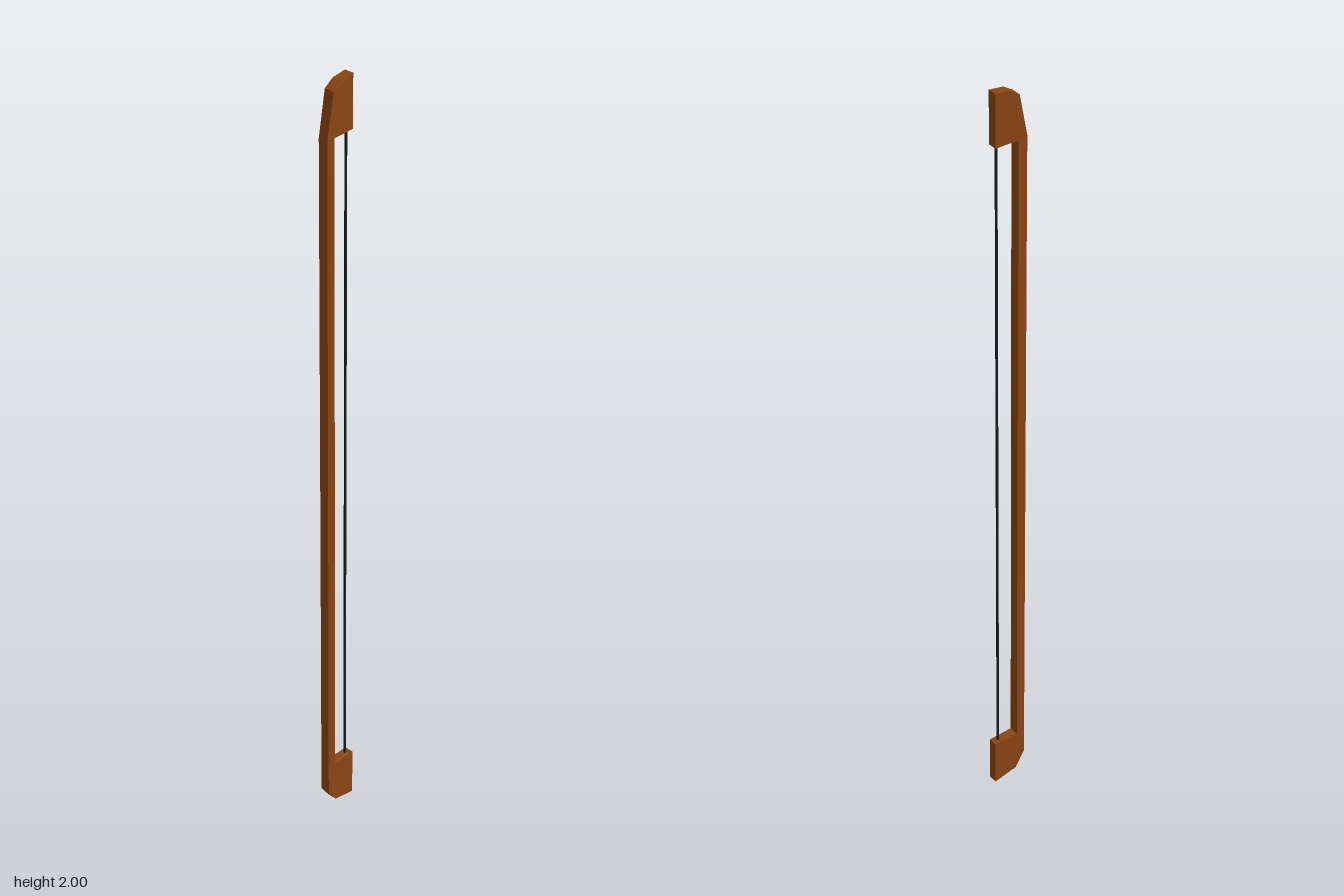
import * as THREE from 'three';

export function createModel() {
  const group = new THREE.Group();
  group.name = 'bow';
  const wood = new THREE.MeshStandardMaterial({ color: 0x8b4513, flatShading: true });
  const dark = new THREE.MeshStandardMaterial({ color: 0x1a1a1a, flatShading: true });

  // Side outline (z, y): long stick with a head block on top and a grip block below
  const outline = [
    [-0.047, 0], [-0.047, 0.13], [0.02, 0.13], [0.02, 1.868], [-0.041, 1.868], [-0.041, 2],
    [-0.003, 1.995], [0.023, 1.978], [0.046, 1.87], [0.046, 0.055], [0.017, 0.015],
  ];
  const shape = new THREE.Shape(outline.map(([z, y]) => new THREE.Vector2(z, y)));
  const geo = new THREE.ExtrudeGeometry(shape, { depth: 0.024, bevelEnabled: false });
  geo.rotateY(-Math.PI / 2).translate(0.0085, 0, 0);

  // The front part of the stick leans slightly to one side
  const pos = geo.attributes.position;
  for (let i = 0; i < pos.count; i++) {
    const x = pos.getX(i), z = pos.getZ(i);
    const lean = x > 0 ? Math.max(0, z) * 0.11 : Math.max(0, z - 0.02) * 0.15;
    pos.setX(i, x + lean);
  }
  geo.computeVertexNormals();
  const stick = new THREE.Mesh(geo, wood);
  stick.name = 'stickWithHeadAndGrip';
  group.add(stick);

  // Taut string between the two blocks
  const string = new THREE.Mesh(new THREE.BoxGeometry(0.004, 1.76, 0.005), dark);
  string.name = 'string';
  string.position.set(-0.0035, 1, -0.031);
  group.add(string);

  return group;
}
